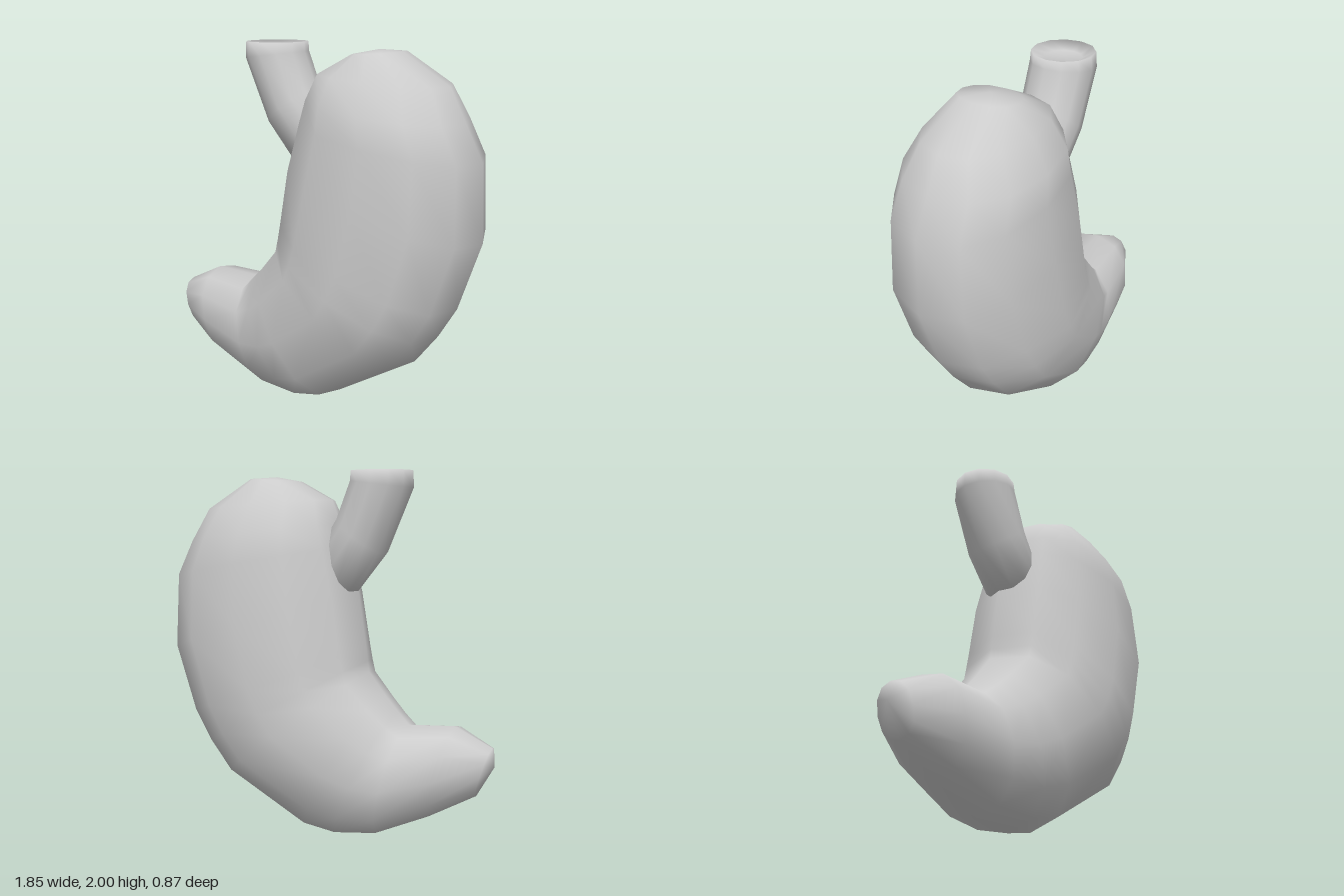
import * as THREE from 'three';
import { mergeVertices } from 'three/addons/utils/BufferGeometryUtils.js';

const SIDES = 12;

// Slightly squared-off sine or cosine, for fuller cross-sections
const fuller = (v) => Math.sign(v) * Math.abs(v) ** 0.9;

// Smooth skin over oval rings. Each ring is [ax, ay, bx, by, halfDepth]:
// two opposite points in the xy plane and the half depth along z.
// A ring with zero depth is a closing pole.
function loft(rings, shape = (v) => v) {
  const positions = [];
  const index = [];
  for (const [ax, ay, bx, by, depth] of rings) {
    for (let j = 0; j < SIDES; j++) {
      const t = (j / SIDES) * Math.PI * 2;
      const c = shape(Math.cos(t)) / 2;
      positions.push(
        (ax + bx) / 2 + (bx - ax) * c,
        (ay + by) / 2 + (by - ay) * c,
        depth * shape(Math.sin(t))
      );
    }
  }
  for (let i = 0; i < rings.length - 1; i++) {
    for (let j = 0; j < SIDES; j++) {
      const k = (j + 1) % SIDES;
      const a = i * SIDES + j, b = i * SIDES + k;
      const c = a + SIDES, d = b + SIDES;
      if (rings[i][4] > 0) index.push(a, b, c);
      if (rings[i + 1][4] > 0) index.push(b, d, c);
    }
  }
  let geometry = new THREE.BufferGeometry();
  geometry.setAttribute('position', new THREE.Float32BufferAttribute(positions, 3));
  geometry.setIndex(index);
  geometry = mergeVertices(geometry, 1e-4);
  geometry.computeVertexNormals();
  return geometry;
}

export function createModel() {
  const group = new THREE.Group();
  group.name = 'stomach';
  const material = new THREE.MeshStandardMaterial({ color: 0xcccccc });

  const add = (name, geometry) => {
    const mesh = new THREE.Mesh(geometry, material);
    mesh.name = name;
    group.add(mesh);
  };

  // Curved sac, from the domed top down and round to the narrow outlet
  add('stomachBody', loft([
    [0.33, 1.975, 0.33, 1.975, 0],
    [0.2, 1.95, 0.46, 1.965, 0.17],
    [0, 1.85, 0.72, 1.8, 0.275],
    [-0.05, 1.72, 0.81, 1.62, 0.375],
    [-0.09, 1.6, 0.905, 1.43, 0.395],
    [-0.155, 1.36, 0.922, 1.02, 0.43],
    [-0.2, 1.06, 0.8, 0.65, 0.435],
    [-0.21, 0.98, 0.7, 0.48, 0.437],
    [-0.22, 0.92, 0.57, 0.31, 0.43],
    [-0.32, 0.79, 0.11, 0.04, 0.385],
    [-0.39, 0.71, -0.07, 0.005, 0.345],
    [-0.45, 0.645, -0.31, 0.03, 0.305],
    [-0.71, 0.66, -0.6, 0.16, 0.25],
    [-0.91, 0.56, -0.83, 0.29, 0.12],
    [-0.925, 0.46, -0.925, 0.46, 0],
  ], fuller));

  // Inlet tube with a shallow recess in its end, its base sunk into the sac
  add('inletTube', loft([
    [-0.285, 1.965, -0.285, 1.965, 0],
    [-0.385, 1.965, -0.185, 1.965, 0.1],
    [-0.453, 2, -0.117, 2, 0.17],
    [-0.455, 1.91, -0.115, 1.95, 0.178],
    [-0.31, 1.56, -0.042, 1.76, 0.175],
    [-0.145, 1.35, 0.08, 1.57, 0.165],
    [0.1, 1.42, 0.1, 1.42, 0],
  ]));

  return group;
}
